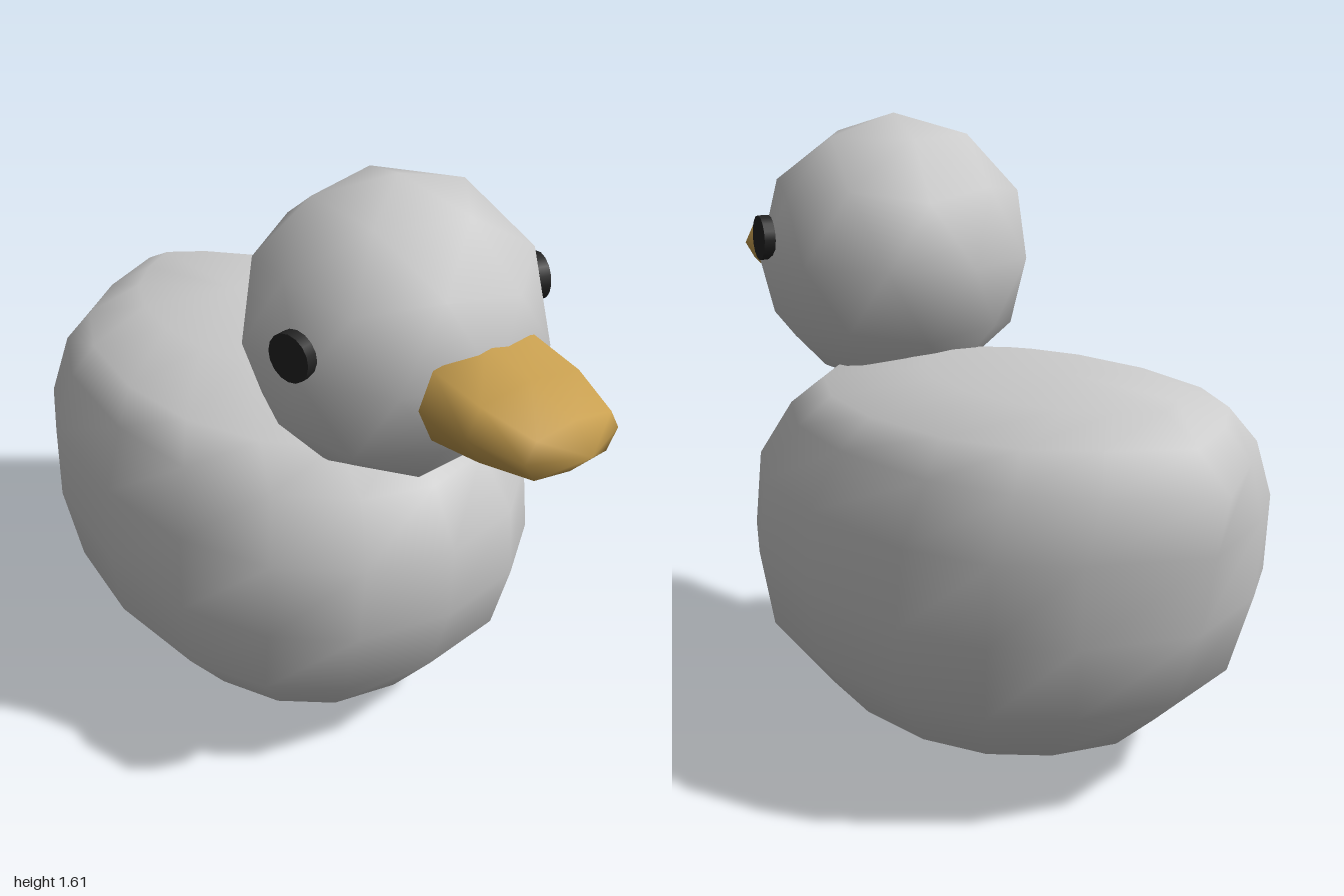
import * as THREE from 'three';

const grey = new THREE.MeshStandardMaterial({ color: 0xcccccc });
const gold = new THREE.MeshStandardMaterial({ color: 0xc9a050 });
const black = new THREE.MeshStandardMaterial({ color: 0x222222 });

// Smooth closed skin over equal-length rings, with a single point at each end
function loft(rings, startPoint, endPoint) {
  const n = rings[0].length;
  const points = [...rings.flat(), startPoint, endPoint];
  const start = points.length - 2, end = points.length - 1;
  const last = (rings.length - 1) * n;
  const index = [];
  for (let j = 0; j < n; j++) {
    const k = (j + 1) % n;
    index.push(start, k, j, end, last + j, last + k);
    for (let i = 0; i < rings.length - 1; i++) {
      const a = i * n + j, b = i * n + k;
      index.push(a, b, b + n, a, b + n, a + n);
    }
  }
  const geometry = new THREE.BufferGeometry();
  geometry.setAttribute('position', new THREE.Float32BufferAttribute(points.flat(), 3));
  geometry.setIndex(index);
  geometry.computeVertexNormals();
  return geometry;
}

function addMesh(parent, name, geometry, material) {
  const mesh = new THREE.Mesh(geometry, material);
  mesh.name = name;
  parent.add(mesh);
  return mesh;
}

const signedPower = (v, p) => Math.sign(v) * Math.abs(v) ** p;

export function createModel() {
  const duck = new THREE.Group();
  duck.name = 'duck';

  // Body: horizontal outlines [height, half width, front z, back z, tail pull,
  // front roundness, rear roundness] (1 is an oval, less is fuller)
  const levels = [
    [0.04, 0.24, 0.13, -0.38, 0, 0.9, 0.95],
    [0.13, 0.4, 0.36, -0.64, 0.01, 0.86, 0.9],
    [0.31, 0.545, 0.51, -0.82, 0.025, 0.84, 0.84],
    [0.51, 0.577, 0.575, -0.87, 0.055, 0.88, 0.78],
    [0.71, 0.567, 0.58, -0.88, 0.085, 0.94, 0.75],
    [0.86, 0.5, 0.5, -0.88, 0.12, 1, 0.8],
    [0.945, 0.44, 0.37, -0.83, 0.06, 1, 0.9],
    [1.005, 0.25, 0.04, -0.75, 0.03, 1, 1],
  ];
  const sides = 16;
  const bodyRings = levels.map(([y, w, front, back, tail, frontRound, rearRound]) =>
    Array.from({ length: sides }, (_, j) => {
      const a = (j / sides) * Math.PI * 2;
      const p = Math.cos(a) > 0 ? frontRound : rearRound;
      const z = (front + back) / 2 + ((front - back) / 2) * signedPower(Math.cos(a), p);
      return [w * signedPower(Math.sin(a), p), y, j === sides / 2 ? z - tail : z];
    }));
  addMesh(duck, 'body', loft(bodyRings, [0, 0, -0.14], [0, 1.03, -0.42]), grey);

  // Head: coarse ball with one corner pointing straight up
  const ball = new THREE.IcosahedronGeometry(0.379, 1);
  ball.rotateX(-Math.atan((1 + Math.sqrt(5)) / 2));
  ball.rotateY(Math.PI / 10);
  addMesh(duck, 'head', ball, grey).position.set(0, 1.235, 0.318);

  // Beak: eight-sided outline scaled along z [z, half width, bottom, top]
  const outline = [[1, 0], [0.8, 0.78], [0, 1], [-0.8, 0.78], [-1, 0], [-0.78, -0.78], [0, -1], [0.78, -0.78]];
  const beakRings = [
    [0.645, 0.185, 1.09, 1.32],
    [0.645, 0.185, 1.09, 1.32], // repeated for a crisp rear edge
    [0.8, 0.178, 1.115, 1.295],
    [0.94, 0.135, 1.135, 1.262],
  ].map(([z, w, low, high]) =>
    outline.map(([x, y]) => [x * w, (low + high) / 2 + (y * (high - low)) / 2, z]));
  addMesh(duck, 'beak', loft(beakRings, [0, 1.205, 0.63], [0, 1.2, 1.0]), gold);

  // Eyes: small discs turned slightly forward
  for (const side of [1, -1]) {
    const disc = new THREE.CylinderGeometry(0.06, 0.06, 0.03, 16);
    disc.rotateZ(Math.PI / 2);
    const eye = addMesh(duck, side > 0 ? 'leftEye' : 'rightEye', disc, black);
    eye.position.set(side * 0.359, 1.293, 0.41);
    eye.rotation.y = -side * 0.23;
  }

  return duck;
}
